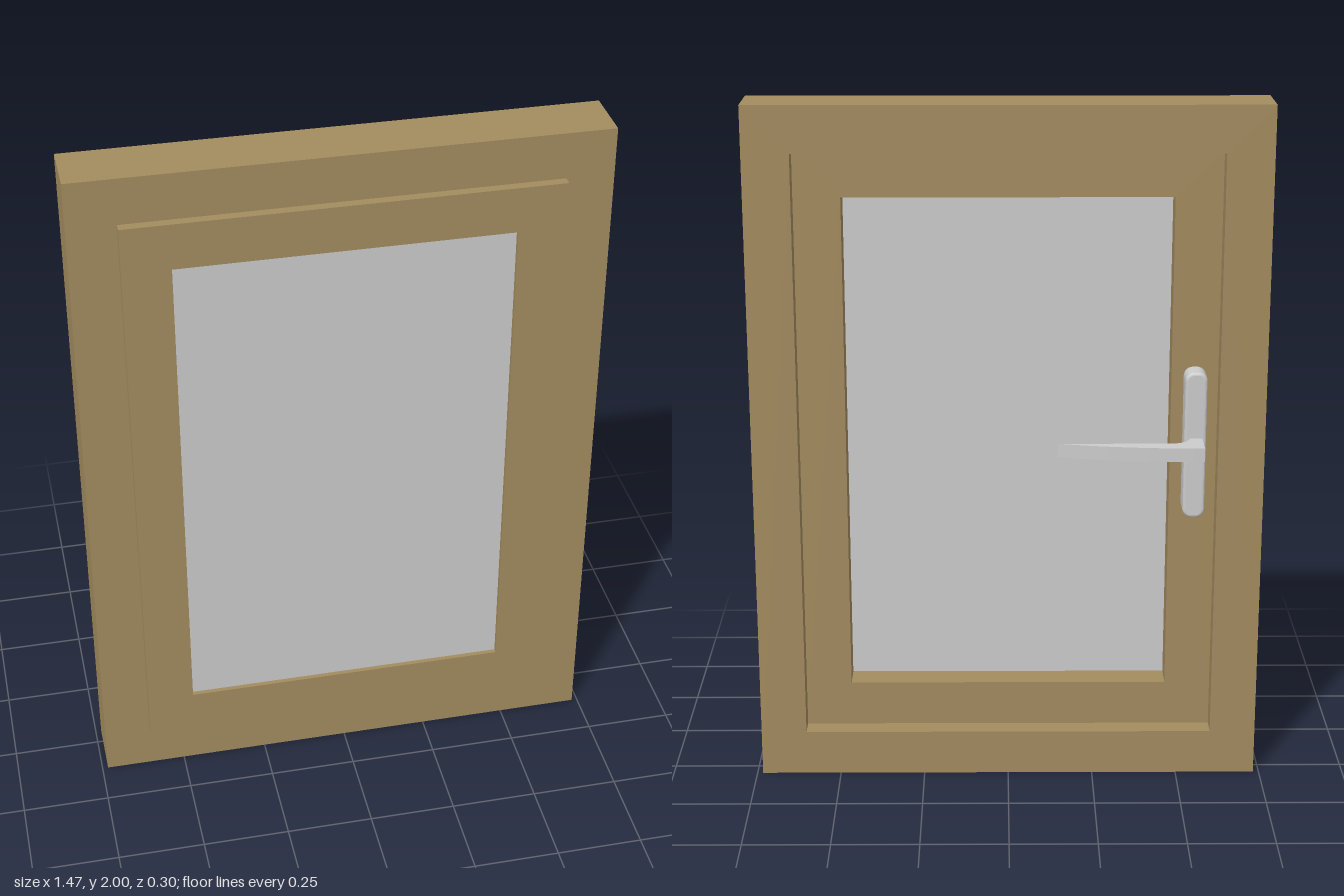
import * as THREE from 'three';

const wood = new THREE.MeshStandardMaterial({ color: 0xa38b5f });
const grey = new THREE.MeshStandardMaterial({ color: 0xcccccc });

function rectangle(path, w, h) {
  path.moveTo(-w / 2, -h / 2);
  path.lineTo(w / 2, -h / 2);
  path.lineTo(w / 2, h / 2);
  path.lineTo(-w / 2, h / 2);
  path.closePath();
  return path;
}

function addMesh(parent, name, geometry, material) {
  const mesh = new THREE.Mesh(geometry, material);
  mesh.name = name;
  parent.add(mesh);
  return mesh;
}

// Rectangular surround with an opening, running from zBack to zFront
function addSurround(parent, name, w, h, band, zBack, zFront) {
  const shape = rectangle(new THREE.Shape(), w, h);
  shape.holes.push(rectangle(new THREE.Path(), w - 2 * band, h - 2 * band));
  const geometry = new THREE.ExtrudeGeometry(shape, { depth: zFront - zBack, bevelEnabled: false });
  addMesh(parent, name, geometry, wood).position.set(0, 1, zBack);
}

// Upright rectangle with rounded corners
function roundedShape(w, h, r) {
  const s = new THREE.Shape();
  const x = w / 2 - r, y = h / 2 - r;
  s.absarc(x, y, r, 0, Math.PI / 2);
  s.absarc(-x, y, r, Math.PI / 2, Math.PI);
  s.absarc(-x, -y, r, Math.PI, Math.PI * 1.5);
  s.absarc(x, -y, r, Math.PI * 1.5, Math.PI * 2);
  s.closePath();
  return s;
}

export function createModel() {
  const model = new THREE.Group();
  model.name = 'window';

  const sashBack = 0.0133;
  addSurround(model, 'outerFrame', 1.467, 2, 0.1333, -0.047, 0.12);
  addSurround(model, 'sash', 1.2, 1.7333, 0.1333, sashBack, 0.1467);

  // Glass pane
  addMesh(model, 'glass', new THREE.BoxGeometry(0.934, 1.467, 0.036), grey).position.set(0, 1, 0.115);

  // Handle on the back of the sash
  const handle = new THREE.Group();
  handle.name = 'handle';
  handle.position.set(-0.533, 1.027, 0);
  model.add(handle);

  const bevel = 0.008, plateBack = -0.055;
  const plate = new THREE.ExtrudeGeometry(roundedShape(0.047, 0.417, 0.018), {
    depth: sashBack - plateBack - bevel, bevelThickness: bevel, bevelSize: bevel,
    bevelSegments: 3, curveSegments: 6,
  });
  addMesh(handle, 'handlePlate', plate, grey).position.z = plateBack + bevel;

  // Lever outline seen from above: x along the lever, y away from the plate
  const outline = new THREE.Shape();
  outline.moveTo(-0.02, 0.05);
  outline.lineTo(0.013, 0.05);
  outline.quadraticCurveTo(0.025, 0.1, 0.075, 0.102);
  outline.lineTo(0.393, 0.102);
  outline.quadraticCurveTo(0.2, 0.148, -0.02, 0.149);
  outline.closePath();
  const lever = new THREE.ExtrudeGeometry(outline, { depth: 0.04, bevelEnabled: false, curveSegments: 14 });
  lever.rotateX(-Math.PI / 2);
  addMesh(handle, 'handleLever', lever, grey).position.y = -0.017;

  return model;
}
